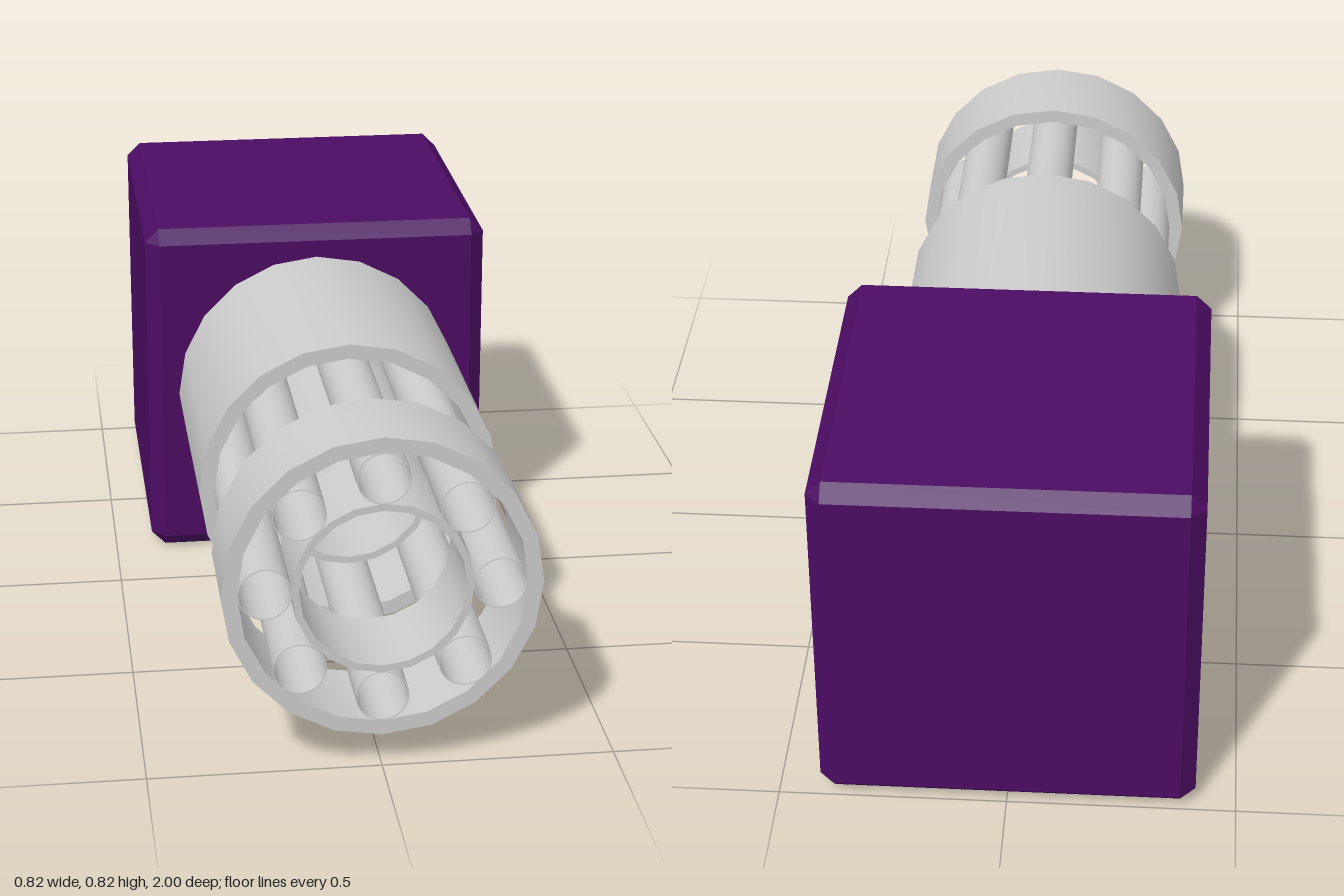
import * as THREE from 'three';
import { toCreasedNormals } from 'three/addons/utils/BufferGeometryUtils.js';
import { ConvexGeometry } from 'three/addons/geometries/ConvexGeometry.js';

const AXIS_Y = 0.4125; // height of the barrel axis
const BOX_FRONT = -0.178;
const grey = new THREE.MeshStandardMaterial({ color: 0xcccccc });
const purple = new THREE.MeshStandardMaterial({ color: 0x4b0c62 });

// Regular polygon outline with one corner pointing up
function polygon(radius, sides) {
  return Array.from({ length: sides }, (_, i) => {
    const a = Math.PI / 2 + (i / sides) * Math.PI * 2;
    return new THREE.Vector2(Math.cos(a) * radius, Math.sin(a) * radius);
  });
}

// Hollow pipe running along z
function pipe(name, outer, inner, zBack, zFront, sides) {
  const shape = new THREE.Shape(polygon(outer, sides));
  shape.holes.push(new THREE.Path(polygon(inner, sides)));
  const extruded = new THREE.ExtrudeGeometry(shape, { depth: zFront - zBack, bevelEnabled: false });
  const mesh = new THREE.Mesh(toCreasedNormals(extruded, 0.6), grey);
  mesh.name = name;
  mesh.position.z = zBack;
  return mesh;
}

// Cube with chamfered edges and corners
function chamferedCube(half, chamfer) {
  const points = [];
  const h = half - chamfer;
  for (const x of [-1, 1]) for (const y of [-1, 1]) for (const z of [-1, 1]) {
    points.push(
      new THREE.Vector3(x * half, y * h, z * h),
      new THREE.Vector3(x * h, y * half, z * h),
      new THREE.Vector3(x * h, y * h, z * half)
    );
  }
  return new ConvexGeometry(points);
}

export function createModel() {
  const model = new THREE.Group();
  model.name = 'rotaryBarrelBlock';

  // Housing block at the back
  const housing = new THREE.Mesh(chamferedCube(0.4115, 0.033), purple);
  housing.name = 'housing';
  housing.position.set(0, AXIS_Y, -0.5885);
  model.add(housing);

  const barrel = new THREE.Group();
  barrel.name = 'barrelAssembly';
  barrel.position.y = AXIS_Y;
  model.add(barrel);

  // Rear sleeve and front band, each with an inner ring
  barrel.add(
    pipe('rearSleeve', 0.338, 0.305, BOX_FRONT, 0.447, 20),
    pipe('rearInnerRing', 0.192, 0.176, BOX_FRONT, 0.447, 20),
    pipe('frontBand', 0.338, 0.305, 0.775, 1, 20),
    pipe('frontInnerRing', 0.192, 0.176, 0.775, 1, 20)
  );

  // Eight thin-walled tubes around the axis
  for (let i = 0; i < 8; i++) {
    const a = (i / 8) * Math.PI * 2;
    const tube = pipe('tube' + (i + 1), 0.057, 0.0545, BOX_FRONT, 1, 32);
    tube.position.x = Math.cos(a) * 0.247;
    tube.position.y = Math.sin(a) * 0.247;
    barrel.add(tube);
  }
  return model;
}
